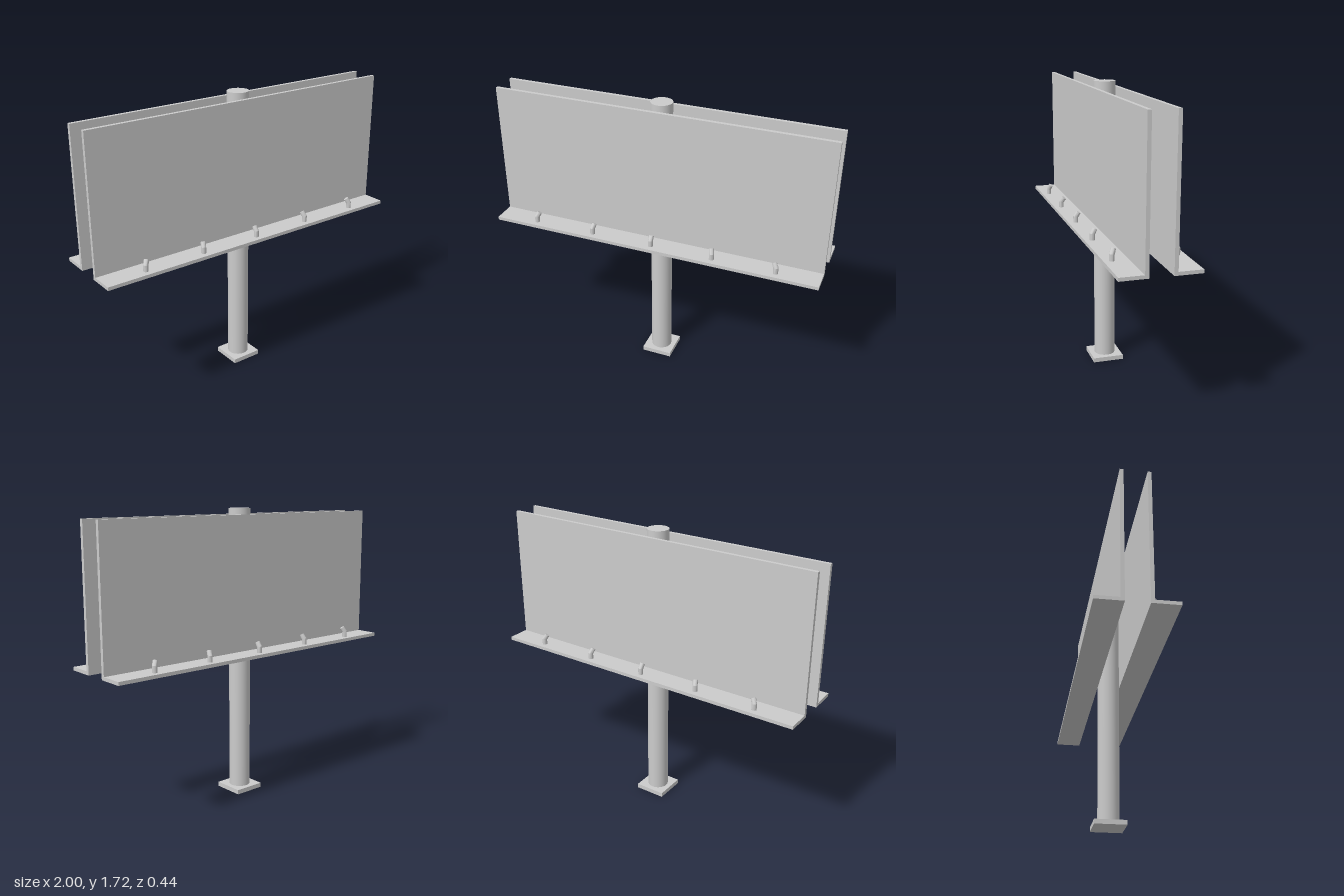
import * as THREE from 'three';
import { toCreasedNormals } from 'three/addons/utils/BufferGeometryUtils.js';

const material = new THREE.MeshStandardMaterial({ color: 0xcccccc });

function add(parent, name, geometry, x, y, z) {
  const mesh = new THREE.Mesh(geometry, material);
  mesh.name = name;
  mesh.position.set(x, y, z);
  parent.add(mesh);
  return mesh;
}

// Short upright tube whose upper half bends towards -z, with a mitred joint
function lampGeometry() {
  const radius = 0.0145, stem = 0.034, head = 0.032, tilt = 0.6;
  const geo = new THREE.CylinderGeometry(radius, radius, 2, 20, 2);
  const pos = geo.attributes.position;
  for (let i = 0; i < pos.count; i++) {
    const row = Math.round(pos.getY(i)), z = pos.getZ(i);
    if (row < 0) pos.setY(i, 0);
    else if (row === 0) pos.setY(i, stem + z * Math.tan(tilt / 2));
    else {
      pos.setY(i, stem + head * Math.cos(tilt) + z * Math.sin(tilt));
      pos.setZ(i, -head * Math.sin(tilt) + z * Math.cos(tilt));
    }
  }
  return toCreasedNormals(geo, 0.45);
}

// One advertising face with its walkway and row of lamps, facing +z
function createSide(name) {
  const side = new THREE.Group();
  side.name = name;
  add(side, 'panel', new THREE.BoxGeometry(2, 0.815, 0.021), 0, 1.2725, 0.0755);
  add(side, 'walkway', new THREE.BoxGeometry(2, 0.02, 0.136), 0, 0.875, 0.154);
  const lamp = lampGeometry();
  for (let i = -2; i <= 2; i++) {
    // Outer lamps turn in towards the centre
    add(side, 'lamp', lamp, i * 0.374, 0.885, 0.178).rotation.y = i * 0.43;
  }
  return side;
}

export function createModel() {
  const model = new THREE.Group();
  model.name = 'billboard';

  // Support
  add(model, 'basePlate', new THREE.BoxGeometry(0.186, 0.027, 0.186), 0, 0.0135, 0);
  add(model, 'pole', new THREE.CylinderGeometry(0.063, 0.063, 1.69, 40), 0, 0.87, 0);

  // Two faces, back to back
  const front = createSide('frontSide');
  const back = createSide('backSide');
  back.rotation.y = Math.PI;
  model.add(front, back);
  return model;
}
